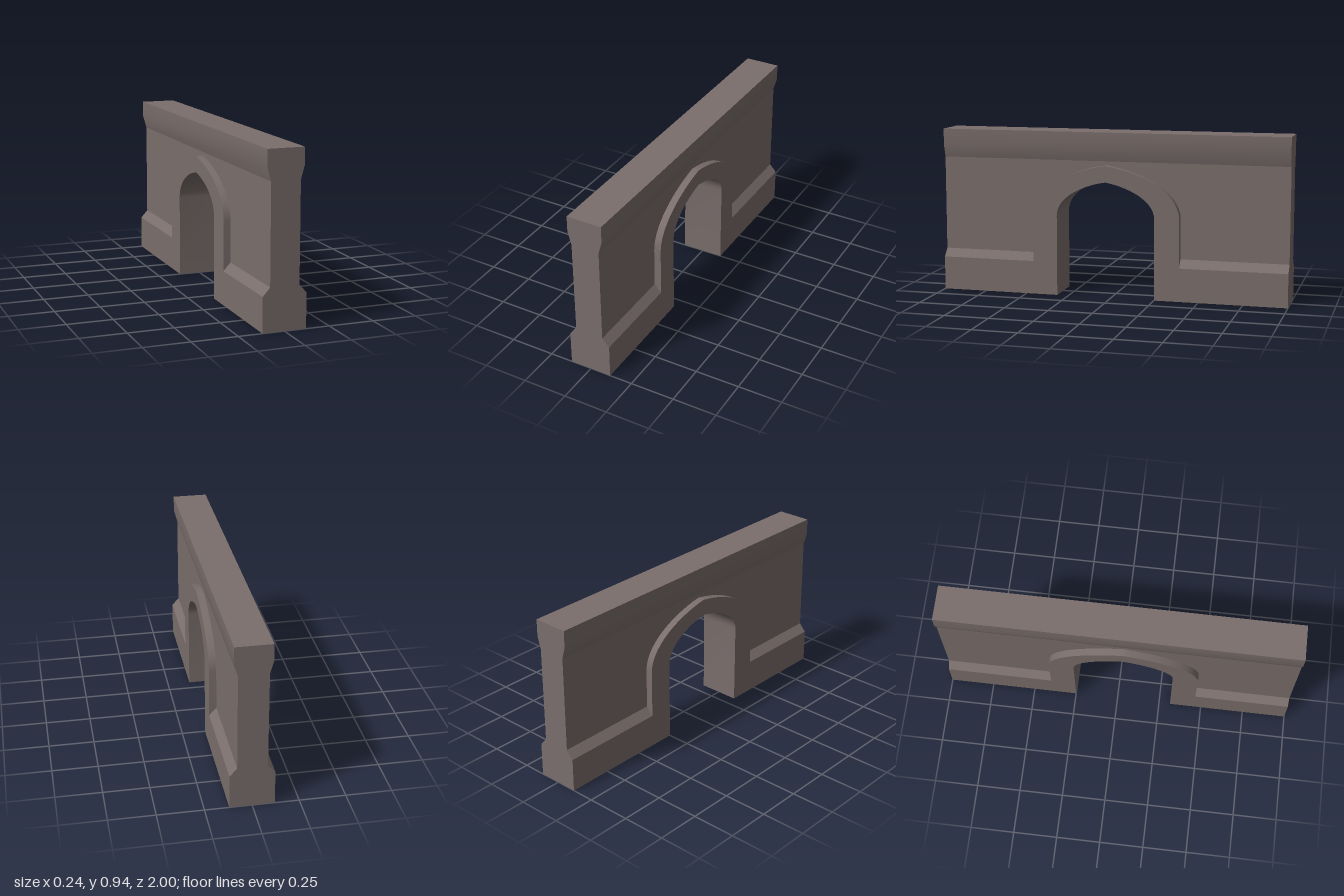
import * as THREE from 'three';
import { toCreasedNormals } from 'three/addons/utils/BufferGeometryUtils.js';

const ARCH_Z = 0.033, SPRING = 0.46, OUTER = 0.425, INNER = 0.283;

// Adds a slightly pointed arch to a path standing at its +z springing point.
function addArch(path, half, shoulderY, haunchZ, haunchY, apexY) {
  path.lineTo(ARCH_Z + half, SPRING);
  path.bezierCurveTo(ARCH_Z + half, shoulderY, ARCH_Z + haunchZ, haunchY, ARCH_Z, apexY);
  path.bezierCurveTo(ARCH_Z - haunchZ, haunchY, ARCH_Z - half, shoulderY, ARCH_Z - half, SPRING);
}
const addOuter = (path) => addArch(path, OUTER, 0.62, 0.2, 0.72, 0.75);
const addInner = (path) => addArch(path, INNER, 0.565, 0.13, 0.637, 0.657);

function polygon(points) {
  return new THREE.Shape(points.map(([x, y]) => new THREE.Vector2(x, y)));
}

export function createModel() {
  const model = new THREE.Group();
  model.name = 'archedWall';
  const stone = new THREE.MeshStandardMaterial({ color: 0x7a6e6c });

  function add(name, geometry) {
    const mesh = new THREE.Mesh(toCreasedNormals(geometry, 0.45), stone);
    mesh.name = name;
    model.add(mesh);
  }
  // Side elevation drawn in (z, y), given a thickness across x
  function addElevation(name, shape, thickness) {
    const g = new THREE.ExtrudeGeometry(shape, { depth: thickness, bevelEnabled: false, curveSegments: 14 });
    g.translate(0, 0, -thickness / 2);
    g.rotateY(-Math.PI / 2);
    add(name, g);
  }
  // Cross-section drawn in (x, y) and run along z; the half profile is mirrored
  function addRun(name, half, z0, z1) {
    const mirrored = half.map(([x, y]) => [-x, y]).reverse();
    const g = new THREE.ExtrudeGeometry(polygon([...half, ...mirrored]), { depth: z1 - z0, bevelEnabled: false });
    g.translate(0, 0, z0);
    add(name, g);
  }

  // Wall panel, cut out around the arch surround
  const wall = new THREE.Shape();
  wall.moveTo(-1, 0.235);
  wall.lineTo(-1, 0.772);
  wall.lineTo(1, 0.772);
  wall.lineTo(1, 0.235);
  wall.lineTo(ARCH_Z + OUTER, 0.235);
  addOuter(wall);
  wall.lineTo(ARCH_Z - OUTER, 0.235);
  wall.closePath();
  addElevation('wallPanel', wall, 0.16);

  // Raised arch surround with its jambs
  const surround = new THREE.Shape();
  surround.moveTo(ARCH_Z + OUTER, 0);
  addOuter(surround);
  surround.lineTo(ARCH_Z - OUTER, 0);
  surround.lineTo(ARCH_Z - INNER, 0);
  const opening = new THREE.Path();
  opening.moveTo(ARCH_Z + INNER, 0);
  addInner(opening);
  opening.getPoints(14).reverse().forEach((p) => surround.lineTo(p.x, p.y));
  surround.closePath();
  addElevation('archSurround', surround, 0.24);

  // Chamfered plinths on both sides of the arch
  const plinth = [[0.12, 0], [0.12, 0.19], [0.08, 0.235]];
  addRun('frontPlinth', plinth, ARCH_Z + OUTER, 1);
  addRun('backPlinth', plinth, -1, ARCH_Z - OUTER);

  // Flared coping along the top
  addRun('coping', [[0.08, 0.772], [0.1, 0.843], [0.1, 0.935]], -1, 1);

  return model;
}
